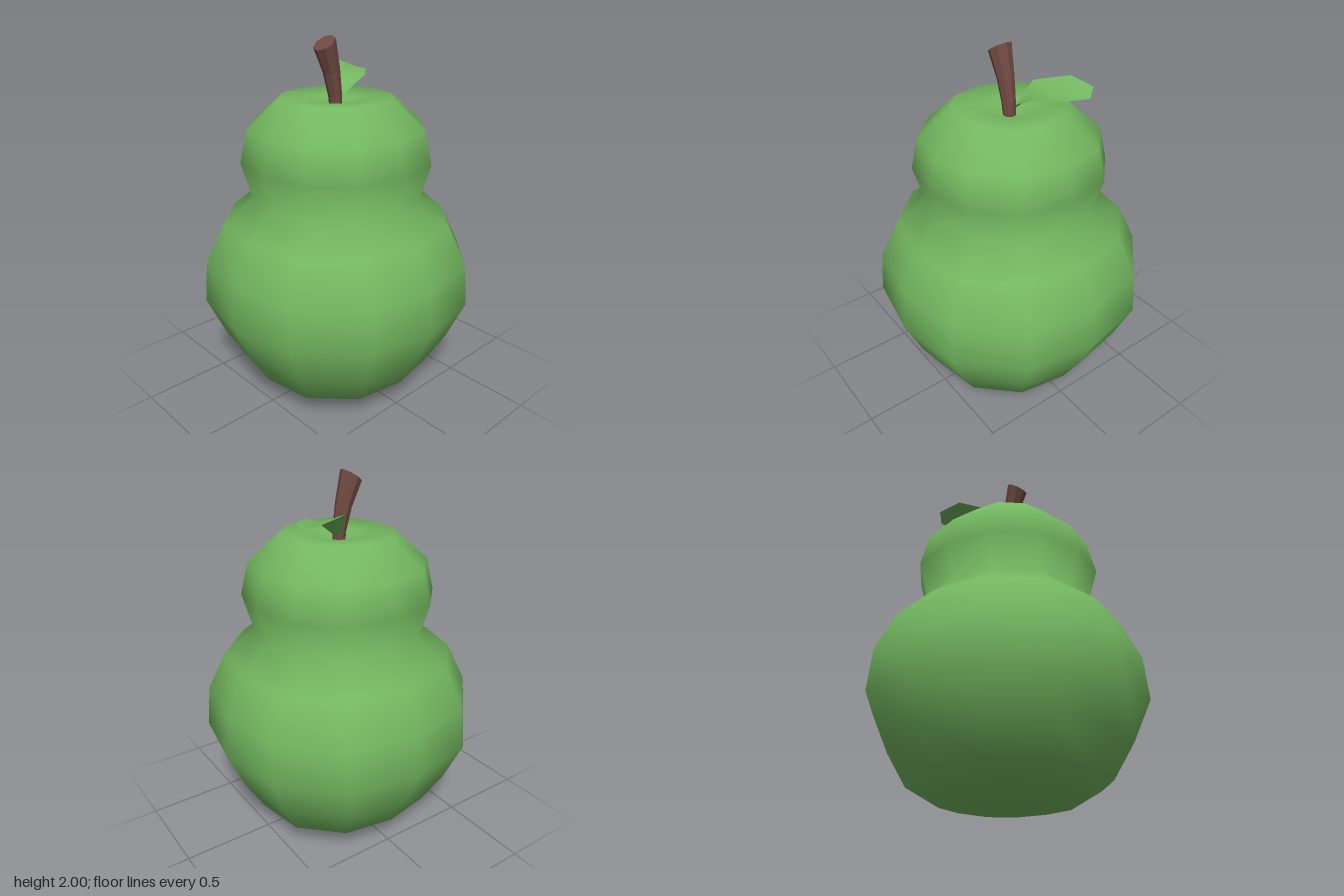
import * as THREE from 'three';
import { mergeVertices } from 'three/addons/utils/BufferGeometryUtils.js';

const fruitGreen = new THREE.MeshStandardMaterial({ color: 0x74b860 });
fruitGreen.name = 'fruit green';
const leafGreen = fruitGreen.clone();
leafGreen.name = 'leaf green';
leafGreen.side = THREE.DoubleSide;
const stemBrown = new THREE.MeshStandardMaterial({ color: 0x704a42, flatShading: true });
stemBrown.name = 'stem brown';

// Drop seams so the normals run smoothly all the way round
function smooth(geometry) {
  geometry.deleteAttribute('uv');
  geometry.deleteAttribute('normal');
  const merged = mergeVertices(geometry, 1e-4);
  merged.computeVertexNormals();
  return merged;
}

// Twelve-sided fruit: wide belly, pinched neck, dimpled crown
function bodyGeometry() {
  const profile = [
    [0, 0], [0.17, 0.01], [0.34, 0.04], [0.52, 0.15], [0.63, 0.34], [0.725, 0.56],
    [0.705, 0.795], [0.605, 1.01], [0.445, 1.15], [0.5, 1.35], [0.46, 1.53],
    [0.29, 1.687], [0.12, 1.67], [0, 1.615],
  ].map(([r, y]) => new THREE.Vector2(r, y));
  const g = new THREE.LatheGeometry(profile, 12);
  const p = g.attributes.position;
  // Diagonal columns sit slightly further out than those on the axes
  for (let i = 0; i < p.count; i++) {
    const x = p.getX(i), z = p.getZ(i);
    const k = 1 + 0.045 * Math.min(1, Math.abs(Math.sin(2 * Math.atan2(x, z))) / 0.866);
    p.setX(i, x * k);
    p.setZ(i, z * k);
  }
  return smooth(g);
}

// Flared stem: eight-sided rings leaning forward, with a slanted cut on top
function stemGeometry() {
  const rings = [ // centre y, centre z, radius, tilt
    [1.6, 0.003, 0.033, 0.1], [1.69, 0.009, 0.037, 0.18],
    [1.82, 0.035, 0.046, 0.3], [1.965, 0.082, 0.063, 0.58],
  ];
  const sides = 8, pos = [], idx = [];
  for (const [y, z, r, tilt] of rings) {
    for (let i = 0; i < sides; i++) {
      const a = (i / sides) * Math.PI * 2, d = Math.cos(a) * r;
      pos.push(Math.sin(a) * r, y - d * Math.sin(tilt), z + d * Math.cos(tilt));
    }
  }
  for (let j = 0; j < rings.length - 1; j++) {
    for (let i = 0; i < sides; i++) {
      const a = j * sides + i, b = j * sides + (i + 1) % sides;
      idx.push(a, b, b + sides, a, b + sides, a + sides);
    }
  }
  const top = (rings.length - 1) * sides;
  for (let i = 1; i < sides - 1; i++) idx.push(top, top + i, top + i + 1);
  const g = new THREE.BufferGeometry();
  g.setAttribute('position', new THREE.Float32BufferAttribute(pos, 3));
  g.setIndex(idx);
  g.computeVertexNormals();
  return g;
}

// Curled leaf: rows of left edge, midrib, right edge from the base to the tip
function leafGeometry() {
  const rows = [
    [-0.03, 1.67, 0.0, -0.005, 1.655, -0.01, 0.02, 1.67, -0.01],
    [-0.12, 1.8, -0.035, -0.06, 1.74, -0.09, 0.02, 1.73, -0.1],
    [-0.26, 1.83, -0.16, -0.13, 1.78, -0.19, 0.02, 1.775, -0.19],
    [-0.285, 1.81, -0.3, -0.19, 1.785, -0.29, -0.09, 1.785, -0.31],
    [-0.22, 1.78, -0.35, -0.22, 1.78, -0.35, -0.22, 1.78, -0.35],
  ];
  const idx = [];
  for (let j = 0; j < rows.length - 1; j++) {
    for (let i = 0; i < 2; i++) {
      const a = j * 3 + i;
      idx.push(a, a + 1, a + 4, a, a + 4, a + 3);
    }
  }
  const g = new THREE.BufferGeometry();
  g.setAttribute('position', new THREE.Float32BufferAttribute(rows.flat(), 3));
  g.setIndex(idx);
  return smooth(g);
}

export function createModel() {
  const group = new THREE.Group();
  group.name = 'pear';
  const add = (name, geometry, material) => {
    const mesh = new THREE.Mesh(geometry, material);
    mesh.name = name;
    group.add(mesh);
  };
  add('body', bodyGeometry(), fruitGreen);
  add('stem', stemGeometry(), stemBrown);
  add('leaf', leafGeometry(), leafGreen);
  return group;
}
